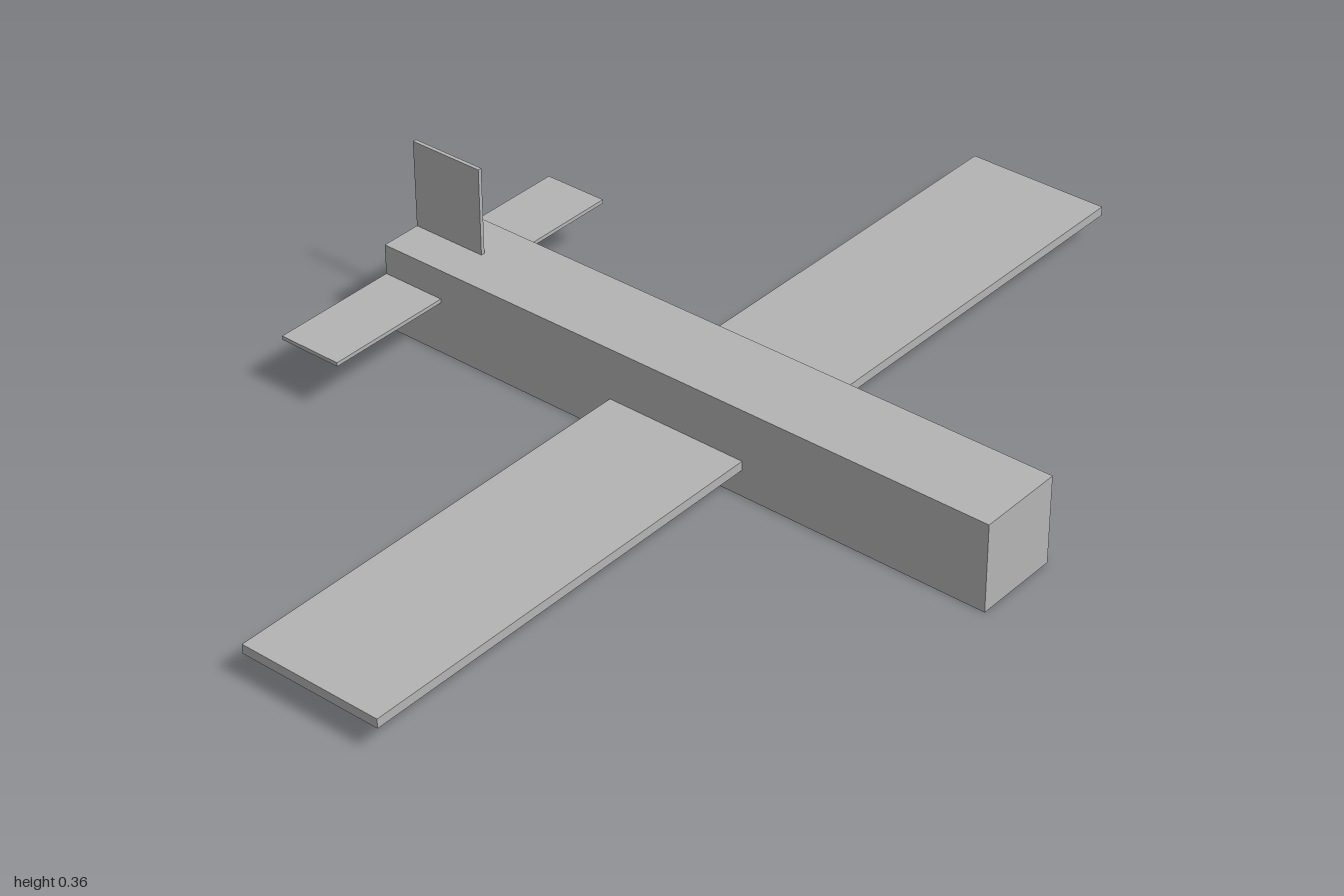
import * as THREE from 'three';

export function createModel() {
  const model = new THREE.Group();
  model.name = 'airplane';
  const bodyGrey = new THREE.MeshStandardMaterial({ color: 0xb4b4b4 });
  bodyGrey.name = 'bodyGrey';

  // Adds a box given its extents along each axis
  function addBox(name, [x0, x1], [y0, y1], [z0, z1]) {
    const mesh = new THREE.Mesh(new THREE.BoxGeometry(x1 - x0, y1 - y0, z1 - z0), bodyGrey);
    mesh.name = name;
    mesh.position.set((x0 + x1) / 2, (y0 + y1) / 2, (z0 + z1) / 2);
    model.add(mesh);
  }

  // Square fuselage
  addBox('fuselage', [-0.09, 0.09], [0, 0.18], [-0.68, 0.68]);

  // Wings and tailplanes, mirrored on both sides of the fuselage
  for (const [side, s] of [['left', 1], ['right', -1]]) {
    const span = (tip) => (s > 0 ? [0.09, tip] : [-tip, -0.09]);
    addBox(side + 'Wing', span(1), [0.055, 0.074], [-0.14, 0.16]);
    addBox(side + 'Tailplane', span(0.36), [0.11, 0.118], [-0.68, -0.544]);
  }

  // Upright tail fin
  addBox('tailFin', [-0.004, 0.004], [0.18, 0.36], [-0.68, -0.52]);

  return model;
}
